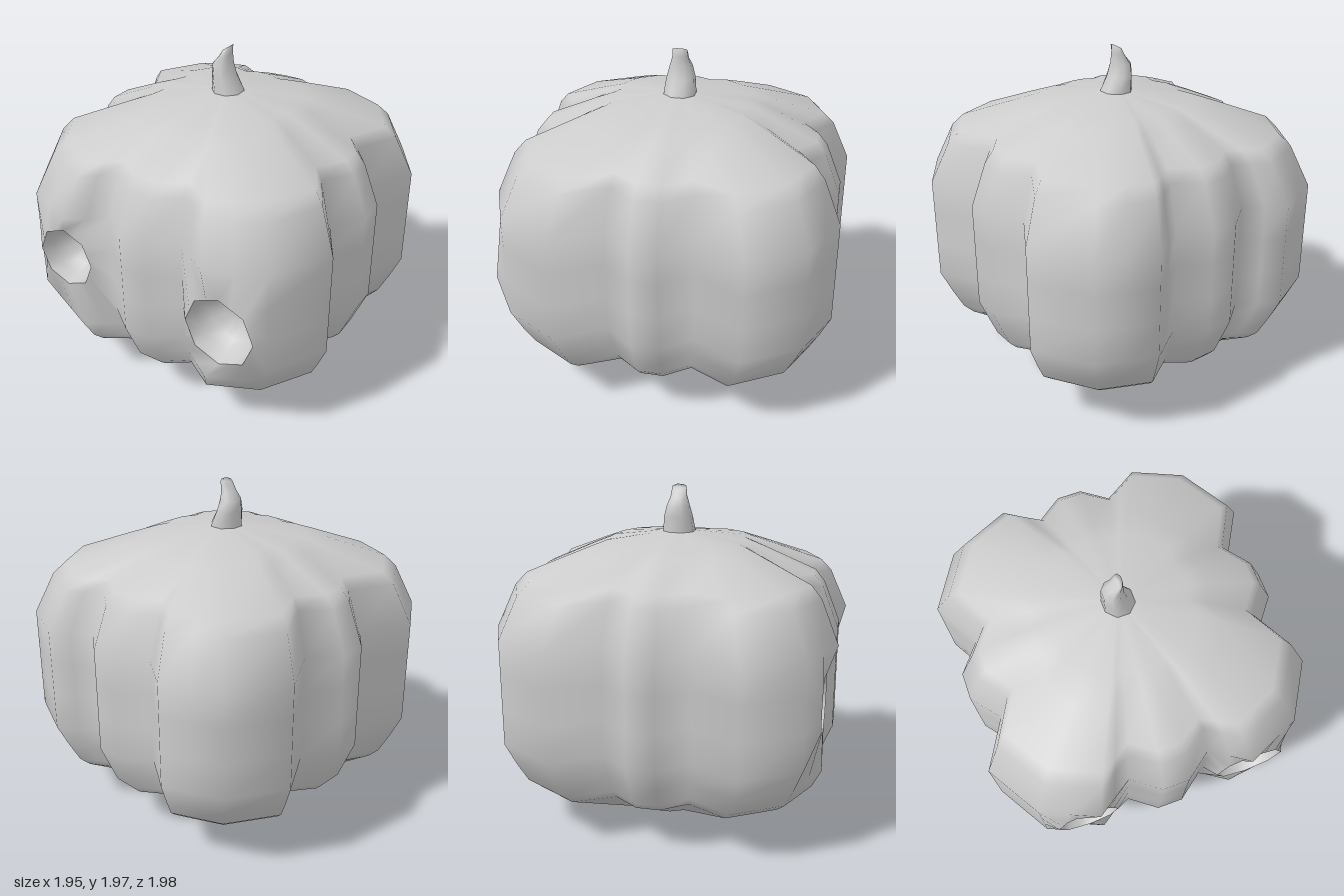
import * as THREE from 'three';
import { mergeVertices } from 'three/addons/utils/BufferGeometryUtils.js';

const material = new THREE.MeshStandardMaterial({ color: 0xcccccc });

// Triangles joining successive closed loops (bottom to top, or outer to inner)
function loft(loops, skip = () => false) {
  const out = [];
  for (let j = 0; j < loops.length - 1; j++) {
    const lo = loops[j], hi = loops[j + 1], n = lo.length;
    for (let i = 0; i < n; i++) {
      if (skip(i, j)) continue;
      const k = (i + 1) % n;
      out.push(lo[i], lo[k], hi[k], lo[i], hi[k], hi[i]);
    }
  }
  return out;
}

function smoothMesh(name, points) {
  const soup = new THREE.BufferGeometry();
  soup.setAttribute('position', new THREE.Float32BufferAttribute(points.flat(), 3));
  const geometry = mergeVertices(soup, 1e-4);
  geometry.computeVertexNormals();
  const mesh = new THREE.Mesh(geometry, material);
  mesh.name = name;
  return mesh;
}

// Lobed outline: one quarter from the front (z) to the side (x), then mirrored
const quarter = [[0.08, 0.965], [0.24, 0.845], [0.35, 0.917], [0.46, 0.99], [0.62, 0.92],
  [0.78, 0.85], [0.975, 0.53], [0.815, 0.25], [0.95, 0.08]];
const reversed = [...quarter].reverse();
const outline = [
  ...quarter,
  ...reversed.map(([x, z]) => [x, -z]),
  ...quarter.map(([x, z]) => [-x, -z]),
  ...reversed.map(([x, z]) => [-x, z]),
];

// Rings: height, scale, how far the lobes fade into a circle
const rings = [[0, 0, 1], [0, 0.23, 0.8], [0.05, 0.42, 0.5], [0.26, 0.84, 0.08], [0.31, 0.89, 0.04],
  [0.42, 0.94, 0], [0.56, 1, 0], [0.77, 1, 0], [0.98, 1, 0], [1.18, 1, 0],
  [1.42, 0.9, 0.04], [1.49, 0.84, 0.08], [1.61, 0.55, 0.35], [1.66, 0.42, 0.5], [1.7, 0.1, 1], [1.7, 0, 1]];

const bodyLoops = rings.map(([y, s, fade]) => outline.map(([x, z]) => {
  const r = Math.hypot(x, z);
  const f = s * (1 + fade * (1 / r - 1));
  return [x * f, y, z * f];
}));

// Eyes sit in 4 x 4 cell panels of the two front lobes
const panelRow = 5;
const eyes = [
  { name: 'leftEyeSocket', x: 0.525, y: 0.77, r: 0.213, col: 1 },
  { name: 'rightEyeSocket', x: -0.52, y: 0.87, r: 0.185, col: 30 },
];
const rimZ = 0.93;

// Octagon with edge midpoints, starting at the lower left
function octagon({ x, y, r }, scale, z) {
  return Array.from({ length: 16 }, (_, k) => {
    const a = (-135 + k * 22.5) * Math.PI / 180;
    const q = r * scale * (k % 2 ? Math.cos(Math.PI / 8) : 1);
    return [x + q * Math.cos(a), y + q * Math.sin(a), z];
  });
}

// Anticlockwise border of an eye panel
function panelBorder(col) {
  const at = (i, j) => bodyLoops[panelRow + j][col + i];
  const border = [];
  for (let t = 0; t < 4; t++) border.push(at(t, 0));
  for (let t = 0; t < 4; t++) border.push(at(4, t));
  for (let t = 0; t < 4; t++) border.push(at(4 - t, 4));
  for (let t = 0; t < 4; t++) border.push(at(0, 4 - t));
  return border;
}

export function createModel() {
  const model = new THREE.Group();
  model.name = 'pumpkin';

  // Ribbed body, with the wall around each eye drawn in to a flat rim
  const inPanel = (i, j) => j >= panelRow && j < panelRow + 4 &&
    eyes.some(({ col }) => i >= col && i < col + 4);
  const body = loft(bodyLoops, inPanel);
  for (const eye of eyes) {
    body.push(...loft([panelBorder(eye.col), octagon(eye, 1, rimZ)]));
  }
  model.add(smoothMesh('body', body));

  // Bowl-shaped eye sockets
  const bowl = [[1, 0], [0.92, 0.08], [0.72, 0.15], [0.4, 0.19], [0, 0.2]];
  for (const eye of eyes) {
    model.add(smoothMesh(eye.name, loft(bowl.map(([s, d]) => octagon(eye, s, rimZ - d)))));
  }

  // Bent stem: height, centre x, half width, half depth, tilt of the section
  const sections = [[1.68, 0, 0.1, 0.1, 0], [1.71, 0, 0.092, 0.097, 0], [1.79, -0.024, 0.07, 0.088, 0],
    [1.86, -0.033, 0.06, 0.068, 0.1], [1.91, -0.018, 0.042, 0.05, 0.4],
    [1.96, 0, 0.022, 0.045, 0.7], [1.96, 0, 0, 0, 0]];
  const stem = sections.map(([y, cx, rx, rz, tilt]) => Array.from({ length: 8 }, (_, k) => {
    const a = (k + 0.5) * Math.PI / 4;
    const dx = rx * Math.sin(a);
    return [cx + dx, y + dx * tilt, rz * Math.cos(a)];
  }));
  model.add(smoothMesh('stem', loft(stem)));

  return model;
}
